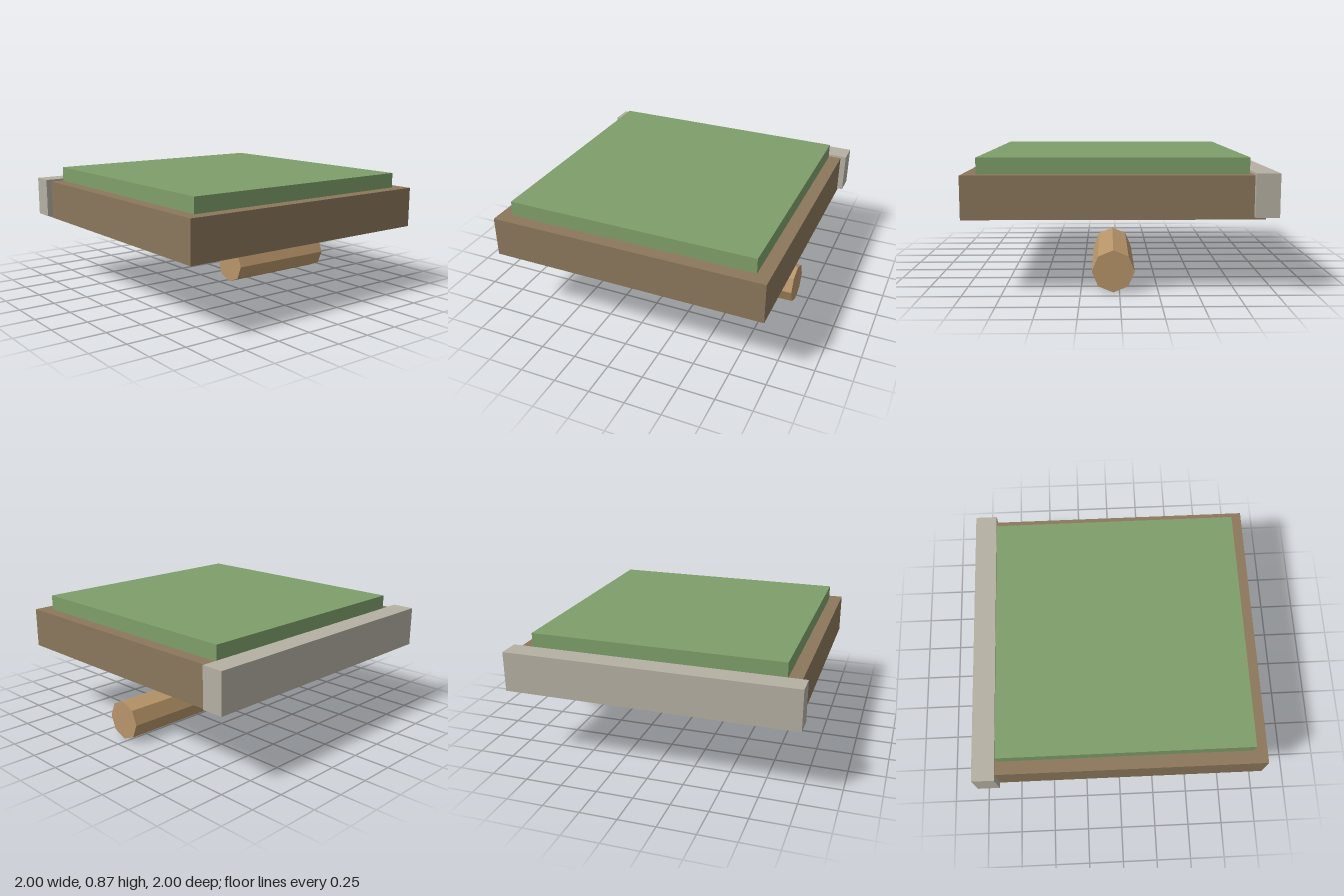
import * as THREE from 'three';

function part(name, geometry, color, x, y, z) {
  const mesh = new THREE.Mesh(geometry, new THREE.MeshStandardMaterial({ color, flatShading: true }));
  mesh.name = name;
  mesh.position.set(x, y, z);
  return mesh;
}

// Box given by its minimum and maximum corners
function block(name, color, min, max) {
  const size = max.map((v, i) => v - min[i]);
  const centre = max.map((v, i) => (v + min[i]) / 2);
  return part(name, new THREE.BoxGeometry(...size), color, ...centre);
}

export function createModel() {
  const model = new THREE.Group();
  model.name = 'grassPlatform';

  // Earth slab with a raised grass layer
  model.add(block('earthSlab', 0x8b775c, [-0.96, 0.48, -0.92], [0.96, 0.76, 1]));
  model.add(block('grassTop', 0x7f9f6a, [-0.87, 0.755, -0.83], [0.87, 0.865, 0.91]));

  // Stone kerb along the back edge
  model.add(block('stoneKerb', 0xb5b0a3, [-1, 0.497, -1], [1, 0.775, -0.847]));

  // Octagonal log lying across, below the slab
  const log = new THREE.CylinderGeometry(0.138, 0.138, 0.845, 8).rotateZ(Math.PI / 2);
  model.add(part('log', log, 0xb8956a, 0.49, 0.138, 0.04));

  return model;
}
